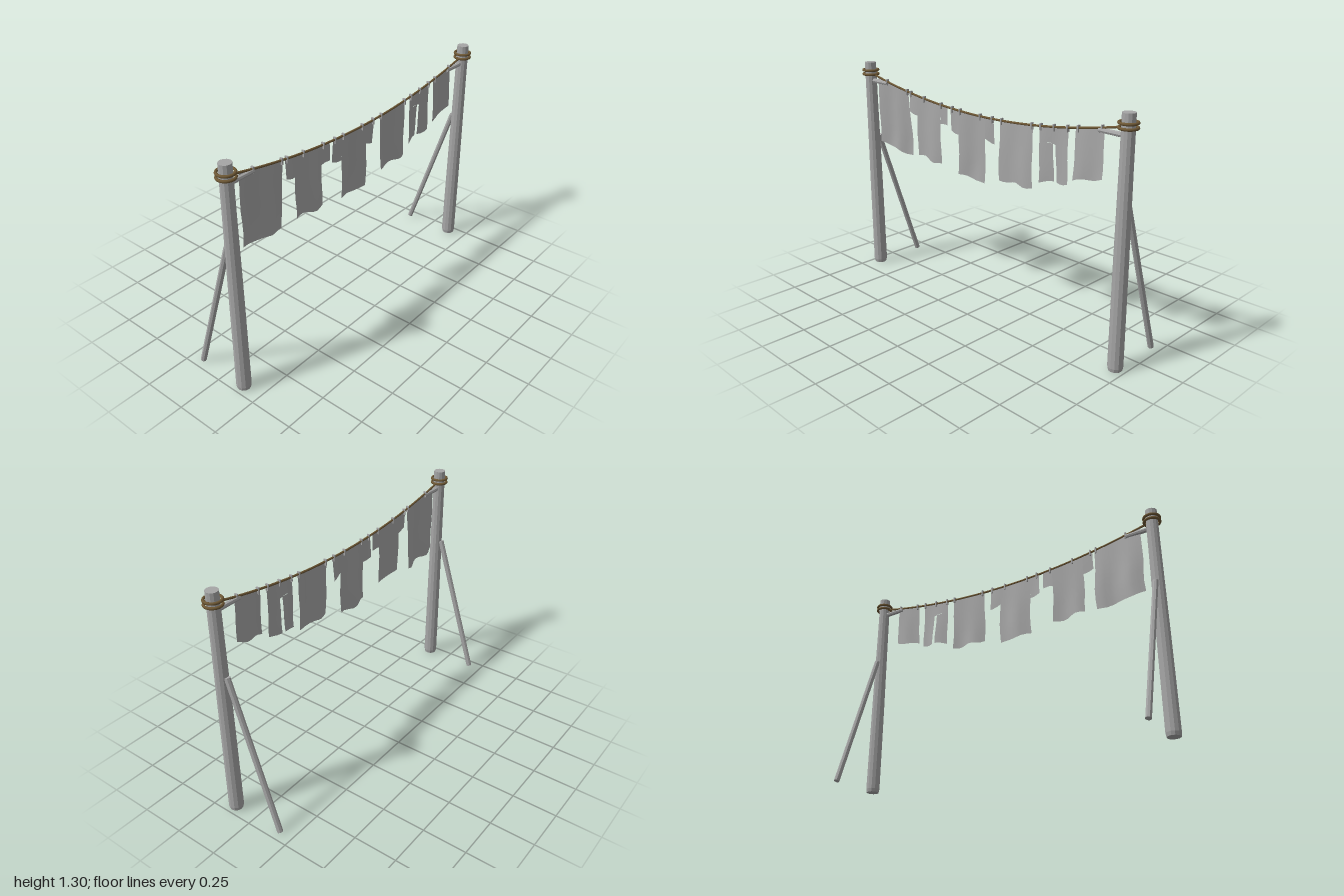
import * as THREE from 'three';

const POST_X = 0.948, LINE_Z = 0.137;
const UP = new THREE.Vector3(0, 1, 0);
const ropeY = (x) => 1.128 + 0.125 * x * x;

export function createModel() {
  const root = new THREE.Group();
  root.name = 'clothesline';
  const wood = new THREE.MeshStandardMaterial({ color: 0xa6a6a6, flatShading: true });
  wood.name = 'grey wood';
  const cloth = new THREE.MeshStandardMaterial({ color: 0xa8a8a8, side: THREE.DoubleSide });
  cloth.name = 'grey cloth';
  const twine = new THREE.MeshStandardMaterial({ color: 0x6e5835 });
  twine.name = 'brown rope';

  const add = (parent, name, geometry, material) => {
    const mesh = new THREE.Mesh(geometry, material);
    mesh.name = name;
    parent.add(mesh);
    return mesh;
  };

  // Straight pole between two points
  const pole = (parent, name, a, b, r0, r1, sides) => {
    const from = new THREE.Vector3(...a), to = new THREE.Vector3(...b);
    const dir = to.clone().sub(from);
    const mesh = add(parent, name, new THREE.CylinderGeometry(r1, r0, dir.length(), sides), wood);
    mesh.position.copy(from).add(to).multiplyScalar(0.5);
    mesh.quaternion.setFromUnitVectors(UP, dir.normalize());
  };

  // Posts with brace, side arm and rope lashings
  for (const side of [-1, 1]) {
    const post = new THREE.Group();
    post.name = side < 0 ? 'rightPost' : 'leftPost';
    root.add(post);
    const x = side * POST_X;
    const profile = [[0, 0.005], [0.036, 0.005], [0.04, 0.025], [0.038, 0.55], [0.034, 1.05], [0.033, 1.305], [0, 1.305]];
    const shaft = add(post, 'shaft', new THREE.LatheGeometry(
      profile.map(([r, y]) => new THREE.Vector2(r, y)), 12), wood);
    shaft.position.set(x, 0, LINE_Z);
    pole(post, 'brace', [x, 0.006, -0.172], [x, 0.848, 0.1], 0.016, 0.016, 8);
    pole(post, 'arm', [x, 1.196, LINE_Z], [side * 0.787, 1.196, LINE_Z], 0.014, 0.012, 8);
    for (const y of [1.234, 1.258]) {
      const ring = add(post, 'lashing', new THREE.TorusGeometry(0.044, 0.0075, 8, 24), twine);
      ring.rotation.x = Math.PI / 2;
      ring.position.set(x, y, LINE_Z);
    }
  }

  // Sagging line
  const linePoints = [];
  for (let i = 0; i <= 16; i++) {
    const x = -0.93 + (1.86 * i) / 16;
    linePoints.push(new THREE.Vector3(x, ropeY(x), LINE_Z));
  }
  add(root, 'line', new THREE.TubeGeometry(new THREE.CatmullRomCurve3(linePoints), 48, 0.006, 6), twine);

  // Rippled panel; top: null hangs from the line, otherwise a fixed height
  const panel = (parent, name, fold, x0, x1, top, bottom0, bottom1) => {
    const geo = new THREE.PlaneGeometry(1, 1, Math.max(3, Math.round((x1 - x0) / 0.028)), 6);
    const pos = geo.attributes.position;
    for (let i = 0; i < pos.count; i++) {
      const u = pos.getX(i) + 0.5, t = 0.5 - pos.getY(i);
      const x = x0 + (x1 - x0) * u;
      const y0 = top ?? ropeY(x) - 0.004;
      const hem = bottom0 + (bottom1 - bottom0) * u + 0.006 * Math.sin(x * 42 + fold.phase);
      const y = y0 + (hem - y0) * t;
      const drop = Math.min(1, (ropeY(x) - y) / 0.3);
      const z = LINE_Z + drop * (fold.lean + fold.amp * Math.sin(x * 34 + fold.phase));
      pos.setXYZ(i, x + 0.005 * drop * Math.sin(y * 22 + fold.phase), y, z);
    }
    geo.computeVertexNormals();
    add(parent, name, geo, cloth);
  };

  // Laundry: panels are [name, x0, x1, top, bottom at x0, bottom at x1]
  const laundry = [
    { name: 'sheet', phase: 0.4, lean: -0.013, amp: 0.013, pegs: [-0.79, -0.605],
      panels: [['sheetCloth', -0.877, -0.597, null, 0.82, 0.785]] },
    { name: 'smallShirt', phase: 2.1, lean: 0.004, amp: 0.01, pegs: [-0.57, -0.455, -0.31],
      panels: [['shirtBody', -0.52, -0.322, null, 0.815, 0.795],
        ['rightSleeve', -0.582, -0.52, null, 1.06, 1.05],
        ['leftSleeve', -0.322, -0.26, null, 1.025, 1.035]] },
    { name: 'largeShirt', phase: 1.0, lean: -0.009, amp: 0.012, pegs: [-0.22, -0.155, 0, 0.09],
      panels: [['shirtBody', -0.17, 0.036, null, 0.768, 0.757],
        ['rightSleeve', -0.235, -0.17, null, 1.01, 0.995],
        ['leftSleeve', 0.036, 0.1, null, 1.01, 0.995]] },
    { name: 'towel', phase: 3.2, lean: 0.005, amp: 0.01, pegs: [0.16, 0.37],
      panels: [['towelCloth', 0.15, 0.376, null, 0.81, 0.815]] },
    { name: 'trousers', phase: 0.2, lean: -0.006, amp: 0.011, pegs: [0.43, 0.515, 0.6],
      panels: [['waist', 0.423, 0.606, null, 1.072, 1.072],
        ['rightLeg', 0.423, 0.506, 1.075, 0.862, 0.875],
        ['leftLeg', 0.525, 0.606, 1.075, 0.88, 0.885]] },
    { name: 'smallTowel', phase: 4.0, lean: 0.005, amp: 0.011, pegs: [0.665, 0.805],
      panels: [['towelCloth', 0.65, 0.82, null, 0.922, 0.96]] },
  ];
  for (const item of laundry) {
    const group = new THREE.Group();
    group.name = item.name;
    root.add(group);
    for (const [name, ...size] of item.panels) panel(group, name, item, ...size);
    // Clothes pegs clipped over the line
    for (const x of item.pegs) {
      const peg = add(group, 'peg', new THREE.BoxGeometry(0.008, 0.036, 0.017), wood);
      peg.position.set(x, ropeY(x) - 0.004, LINE_Z);
    }
  }
  return root;
}
